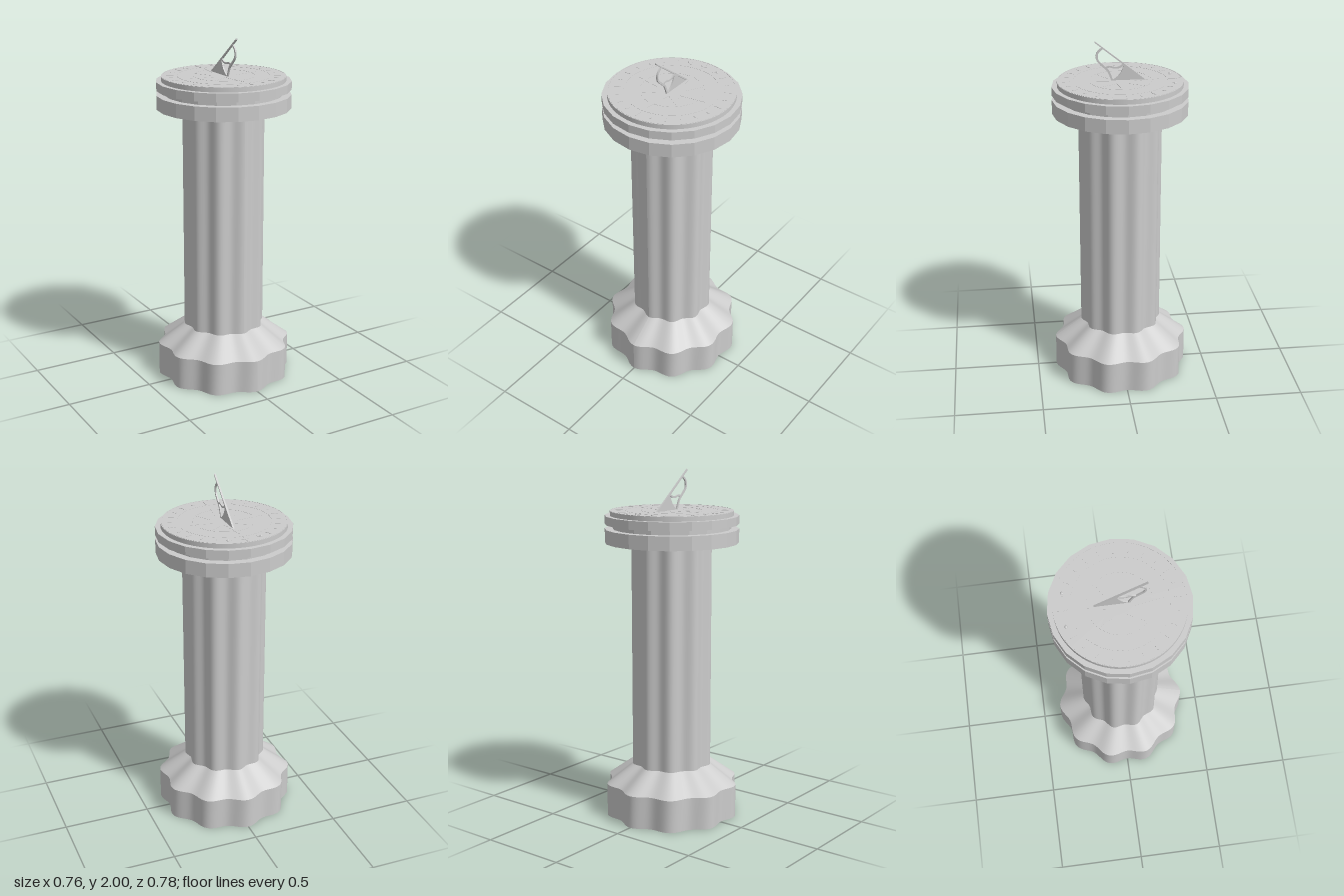
import * as THREE from 'three';

const grey = new THREE.MeshStandardMaterial({ color: 0xcccccc });
const flatGrey = new THREE.MeshStandardMaterial({ color: 0xcccccc, flatShading: true });
const FACE_Y = 1.777;

function add(parent, name, geometry, material = grey) {
  const mesh = new THREE.Mesh(geometry, material);
  mesh.name = name;
  parent.add(mesh);
  return mesh;
}

// Upright drum between two heights
function drum(rTop, rBottom, y0, y1, sides) {
  return new THREE.CylinderGeometry(rTop, rBottom, y1 - y0, sides).translate(0, (y0 + y1) / 2, 0);
}

// Drum whose radius swells into ten rounded lobes
function lobedDrum(rTop, rBottom, y0, y1) {
  const g = drum(rTop, rBottom, y0, y1, 120);
  const p = g.attributes.position;
  for (let i = 0; i < p.count; i++) {
    const a = Math.atan2(p.getX(i), p.getZ(i));
    const k = 0.955 + 0.045 * Math.cos(10 * a);
    p.setX(i, p.getX(i) * k);
    p.setZ(i, p.getZ(i) * k);
  }
  g.computeVertexNormals();
  return g;
}

// Strip of constant width that follows a curve through [z, y] points
function stripShape(points, width) {
  const curve = new THREE.SplineCurve(points.map(([z, y]) => new THREE.Vector2(z, y)));
  const left = [], right = [];
  for (let i = 0; i <= 24; i++) {
    const c = curve.getPoint(i / 24), t = curve.getTangent(i / 24);
    const n = new THREE.Vector2(-t.y, t.x).multiplyScalar(width / 2);
    left.push(c.clone().add(n));
    right.unshift(c.clone().sub(n));
  }
  return new THREE.Shape([...left, ...right]);
}

// Upright plate: shape drawn in z and y, thickness along x
function plate(shape, thickness) {
  return new THREE.ExtrudeGeometry(shape, { depth: thickness, bevelEnabled: false, curveSegments: 12 })
    .translate(0, 0, -thickness / 2).rotateY(-Math.PI / 2);
}

// Thin relief lying on the dial face
function relief(shape, height = 0.002) {
  return new THREE.ExtrudeGeometry(shape, { depth: height, bevelEnabled: false, curveSegments: 64 })
    .rotateX(-Math.PI / 2).translate(0, FACE_Y, 0);
}

function starShape(points, outer, alternate, inner) {
  const pts = [];
  for (let i = 0; i < points * 2; i++) {
    const r = i % 2 ? inner : (i % 4 ? alternate : outer);
    const a = (i * Math.PI) / points;
    pts.push(new THREE.Vector2(r * Math.sin(a), r * Math.cos(a)));
  }
  return new THREE.Shape(pts);
}

export function createModel() {
  const model = new THREE.Group();
  model.name = 'sundial';

  // Lobed pedestal
  const pedestal = new THREE.Group();
  pedestal.name = 'pedestal';
  model.add(pedestal);
  add(pedestal, 'plinth', lobedDrum(0.39, 0.39, 0, 0.19));
  add(pedestal, 'plinthSlope', lobedDrum(0.235, 0.39, 0.19, 0.303));
  add(pedestal, 'shaft', lobedDrum(0.235, 0.235, 0.303, 1.6));

  // Twenty-sided cap with a recessed neck
  const cap = new THREE.Group();
  cap.name = 'cap';
  model.add(cap);
  add(cap, 'lowerSlab', drum(0.38, 0.38, 1.597, 1.676, 20), flatGrey);
  add(cap, 'neck', drum(0.335, 0.335, 1.676, 1.703, 20), flatGrey);
  add(cap, 'upperSlab', drum(0.38, 0.38, 1.703, 1.751, 20), flatGrey);

  // Dial face with rings, compass star and hour marks
  const dial = new THREE.Group();
  dial.name = 'dial';
  model.add(dial);
  add(dial, 'dialPlate', drum(0.349, 0.349, 1.751, FACE_Y, 80));
  for (const r of [0.06, 0.174, 0.26, 0.344]) {
    const ring = new THREE.Shape().absarc(0, 0, r + 0.001, 0, Math.PI * 2);
    ring.holes.push(new THREE.Path().absarc(0, 0, r - 0.001, 0, Math.PI * 2, true));
    add(dial, 'dialRing', relief(ring, 0.001));
  }
  add(dial, 'compassStar', relief(starShape(8, 0.225, 0.17, 0.07), 0.001));
  for (let i = 0; i < 24; i++) {
    const a = (i * Math.PI) / 12;
    if (i === 12) continue;
    const tick = new THREE.BoxGeometry(0.008, 0.002, i % 2 ? 0.022 : 0.04);
    add(dial, 'hourMark', tick.translate(0, FACE_Y + 0.001, 0.3).rotateY(a));
  }

  // Ornament and two studs at the back of the dial
  add(dial, 'noonOrnament', relief(starShape(4, 0.035, 0.02, 0.009)).translate(0, 0, -0.3));
  for (const side of [-1, 1]) {
    add(dial, 'stud', new THREE.SphereGeometry(0.008, 16, 10).translate(side * 0.094, FACE_Y, -0.291));
  }

  // Gnomon: sloping edge, solid heel and scrolled support
  const gnomon = new THREE.Group();
  gnomon.name = 'gnomon';
  model.add(gnomon);
  const edge = new THREE.Shape([[-0.14, 1.777], [0.14, 2], [0.14, 1.992], [-0.125, 1.777]]
    .map(([z, y]) => new THREE.Vector2(z, y)));
  add(gnomon, 'gnomonEdge', plate(edge, 0.01));
  const heel = new THREE.Shape();
  heel.moveTo(-0.138, 1.777);
  heel.lineTo(-0.02, 1.87);
  heel.quadraticCurveTo(-0.008, 1.8, 0.05, 1.777);
  add(gnomon, 'gnomonHeel', plate(heel, 0.008));
  const scroll = [[0.096, 1.962], [0.125, 1.935], [0.126, 1.895], [0.095, 1.86], [0.066, 1.83], [0.045, 1.777]];
  add(gnomon, 'gnomonScroll', plate(stripShape(scroll, 0.011), 0.008));
  const branch = [[0.085, 1.847], [0.06, 1.856], [0.03, 1.849], [0.004, 1.852], [-0.02, 1.866]];
  add(gnomon, 'gnomonBranch', plate(stripShape(branch, 0.01), 0.008));

  return model;
}
